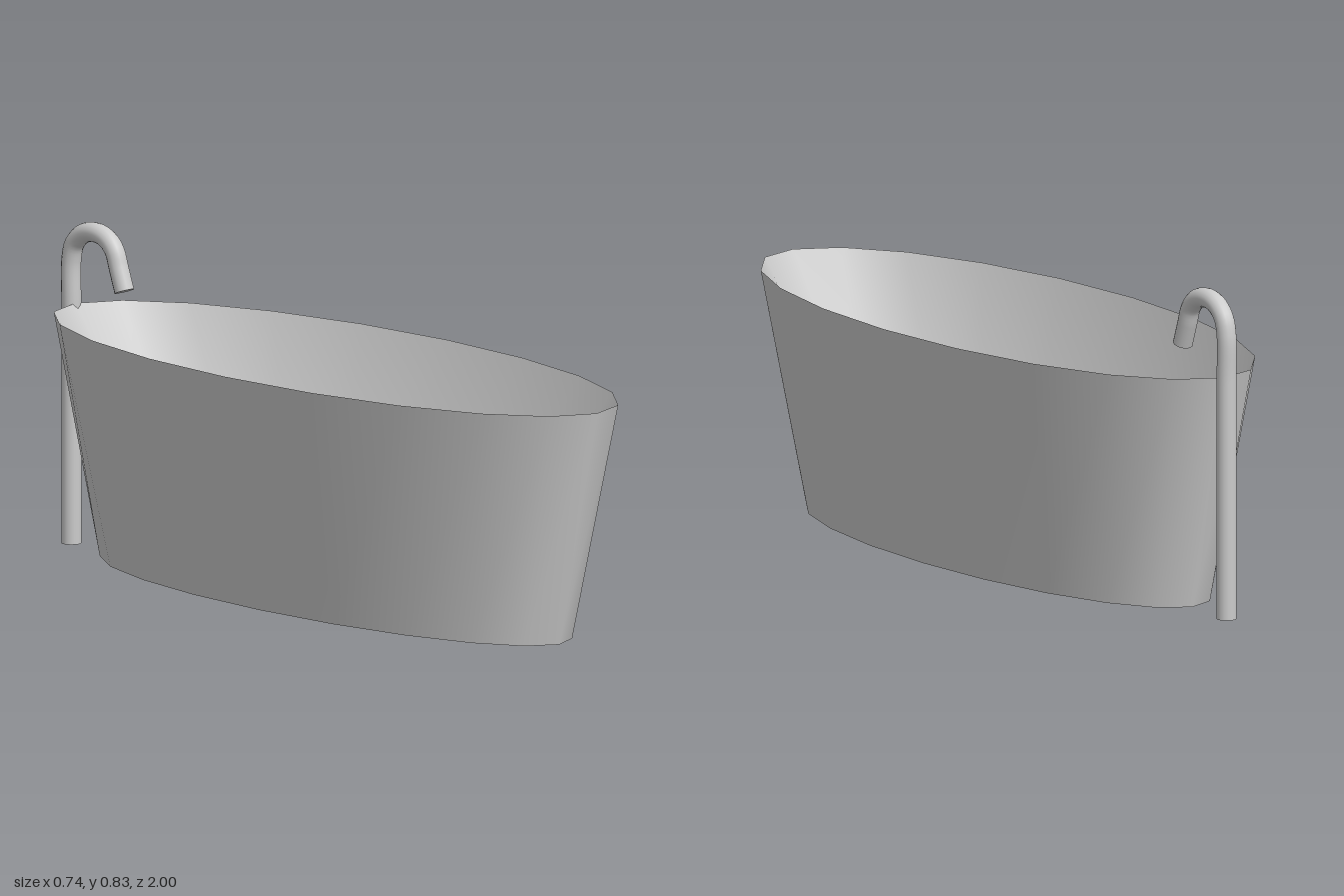
import * as THREE from 'three';
import { toCreasedNormals } from 'three/addons/utils/BufferGeometryUtils.js';

const SIDES = 20;
const CENTRE_Z = 0.02;

// Skin a list of elliptical rings [radiusX, radiusZ, y]; a zero ring closes to a point.
function loft(rings, crease) {
  const positions = [];
  const index = [];
  rings.forEach(([rx, rz, y]) => {
    for (let i = 0; i < SIDES; i++) {
      const a = (i / SIDES) * Math.PI * 2;
      positions.push(rx * Math.sin(a), y, CENTRE_Z + rz * Math.cos(a));
    }
  });
  for (let r = 0; r < rings.length - 1; r++) {
    for (let i = 0; i < SIDES; i++) {
      const j = (i + 1) % SIDES;
      const a = r * SIDES + i, b = r * SIDES + j;
      const c = a + SIDES, d = b + SIDES;
      if (rings[r][0] > 0) index.push(a, b, d);
      if (rings[r + 1][0] > 0) index.push(a, d, c);
    }
  }
  const geometry = new THREE.BufferGeometry();
  geometry.setAttribute('position', new THREE.Float32BufferAttribute(positions, 3));
  geometry.setIndex(index);
  return toCreasedNormals(geometry, crease);
}

export function createModel() {
  const model = new THREE.Group();
  model.name = 'bathtub';
  const material = new THREE.MeshStandardMaterial({ color: 0xcccccc, side: THREE.DoubleSide });
  const add = (name, geometry, parent = model) => {
    const mesh = new THREE.Mesh(geometry, material);
    mesh.name = name;
    parent.add(mesh);
    return mesh;
  };

  // Flared outer wall with a flat underside
  add('outerShell', loft([[0, 0, 0.004], [0.255, 0.84, 0.004], [0.37, 0.98, 0.61]], 1.0));

  // Basin sloping from the knife-edge rim down to the floor
  add('basin', loft([
    [0.37, 0.98, 0.61],
    [0.225, 0.67, 0.23],
    [0.19, 0.59, 0.19],
    [0.15, 0.48, 0.18],
    [0, 0, 0.18],
  ], 1.3));

  // Freestanding tap: one bent pipe with a straight riser, a hook and a slanted spout
  const tap = new THREE.Group();
  tap.name = 'tap';
  model.add(tap);
  const radius = 0.025;
  const path = new THREE.CatmullRomCurve3([
    [-0.975, 0], [-0.975, 0.6], [-0.975, 0.72], [-0.962, 0.763], [-0.925, 0.793],
    [-0.88, 0.8], [-0.838, 0.788], [-0.812, 0.762], [-0.797, 0.722], [-0.776, 0.666],
  ].map(([z, y]) => new THREE.Vector3(0, y, z)));
  add('pipe', new THREE.TubeGeometry(path, 90, radius, 16), tap);

  // Discs closing the foot and the spout
  [['pipeFoot', 0, -1], ['spoutEnd', 1, 1]].forEach(([name, t, sign]) => {
    const cap = add(name, new THREE.CircleGeometry(radius, 16), tap);
    cap.position.copy(path.getPoint(t));
    cap.quaternion.setFromUnitVectors(
      new THREE.Vector3(0, 0, 1), path.getTangent(t).multiplyScalar(sign));
  });

  return model;
}
